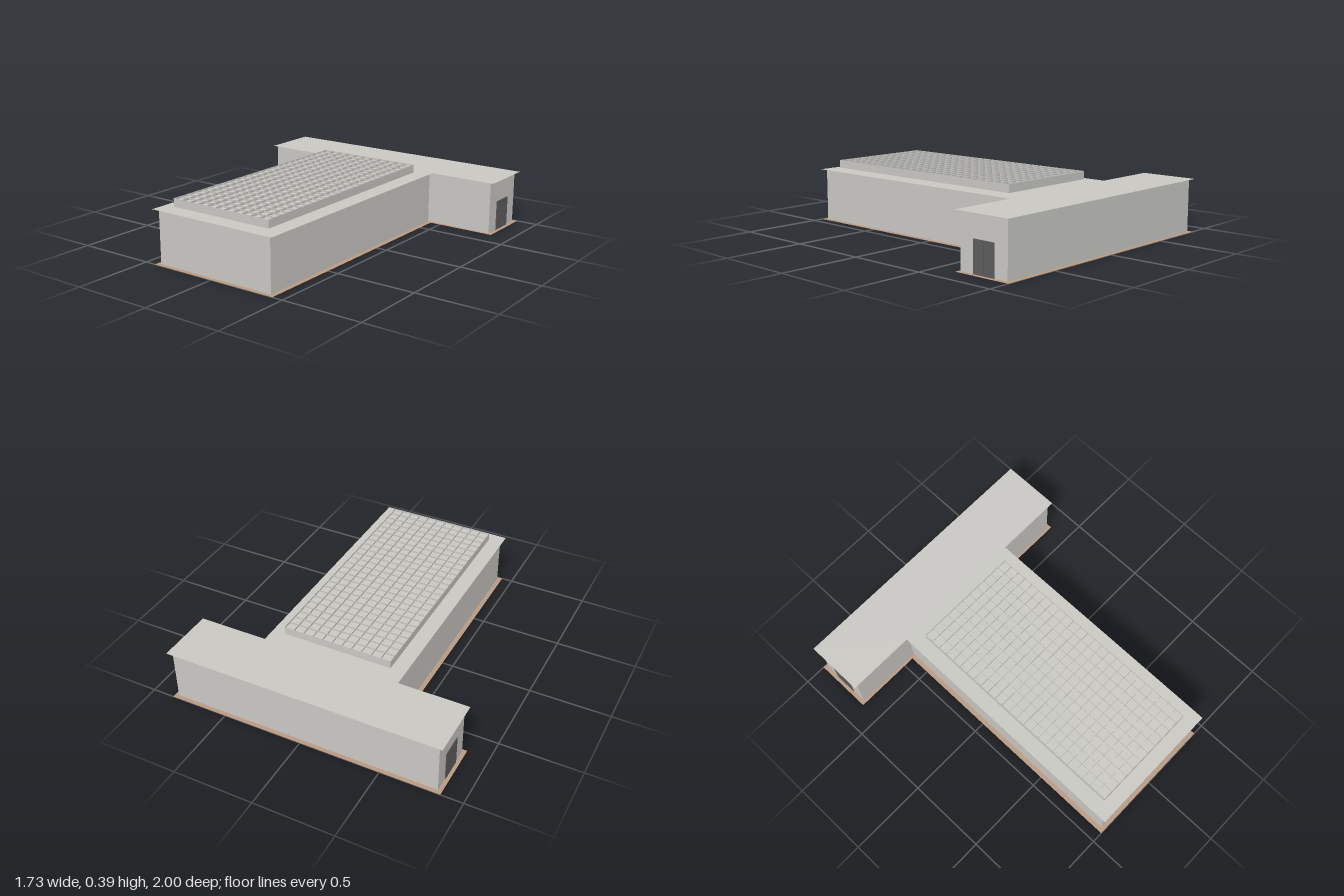
import * as THREE from 'three';

export function createModel() {
  const model = new THREE.Group();
  const mat = (name, color, side = THREE.FrontSide) => {
    const m = new THREE.MeshStandardMaterial({ color, side });
    m.name = name;
    return m;
  };
  const concrete = mat('concrete grey', 0xc8c7c2, THREE.DoubleSide);
  const earth = mat('earth brown', 0xb8997f, THREE.DoubleSide);
  const doorGrey = mat('dark door grey', 0x5c5c5d);

  const add = (parent, name, geometry, material, x = 0, y = 0, z = 0) => {
    const mesh = new THREE.Mesh(geometry, material);
    mesh.name = name;
    mesh.position.set(x, y, z);
    parent.add(mesh);
    return mesh;
  };

  // T-shaped plan: wide bar at the back, long hall running to the front
  const plan = (bar, hall, back, notch, front) => new THREE.Shape(
    [[-bar, back], [bar, back], [bar, notch], [hall, notch],
      [hall, front], [-hall, front], [-hall, notch], [-bar, notch]]
      .map(([x, z]) => new THREE.Vector2(x, z)));
  const lay = (geometry) => geometry.rotateX(Math.PI / 2);

  // Building body with overhanging roof and floor sheets
  const slabPlan = plan(0.865, 0.432, -1, -0.632, 1);
  const bodyPlan = plan(0.84, 0.404, -0.975, -0.648, 0.975);
  add(model, 'floor', lay(new THREE.ShapeGeometry(slabPlan)), earth);
  add(model, 'walls', lay(new THREE.ExtrudeGeometry(bodyPlan, { depth: 0.327, bevelEnabled: false })), concrete, 0, 0.3285, 0);
  add(model, 'roof', lay(new THREE.ShapeGeometry(slabPlan)), concrete, 0, 0.33, 0);

  // Double doors at both ends of the back bar
  for (const side of [-1, 1]) {
    for (const leaf of [-1, 1]) {
      add(model, 'doorLeaf', new THREE.BoxGeometry(0.006, 0.188, 0.0715), doorGrey,
        side * 0.841, 0.095, -0.8125 + leaf * 0.0365);
    }
  }

  // Skylight: low curb carrying five gridded panels
  const skylight = new THREE.Group();
  skylight.name = 'skylight';
  model.add(skylight);
  const width = 0.688, back = -0.548, length = 1.462;
  const panels = 5, rows = 5, columns = 11;
  const middle = back + length / 2;
  const top = 0.39, recess = 0.012;
  add(skylight, 'curb', new THREE.BoxGeometry(0.49, 0.012, 1.275), concrete, 0, 0.335, 0.178);
  add(skylight, 'panelBase', new THREE.BoxGeometry(width, 0.038, length), concrete, 0, 0.359, middle);

  // Thin upright fins form the grid on the panels
  const longFin = new THREE.PlaneGeometry(length, recess).rotateY(Math.PI / 2);
  const crossFin = new THREE.PlaneGeometry(width, recess);
  for (let i = 0; i <= columns; i++) {
    add(skylight, 'longFin', longFin, concrete, (i / columns - 0.5) * width, top - recess / 2, middle);
  }
  for (let i = 0; i <= panels * rows; i++) {
    add(skylight, 'crossFin', crossFin, concrete, 0, top - recess / 2, back + length * i / (panels * rows));
  }

  return model;
}
